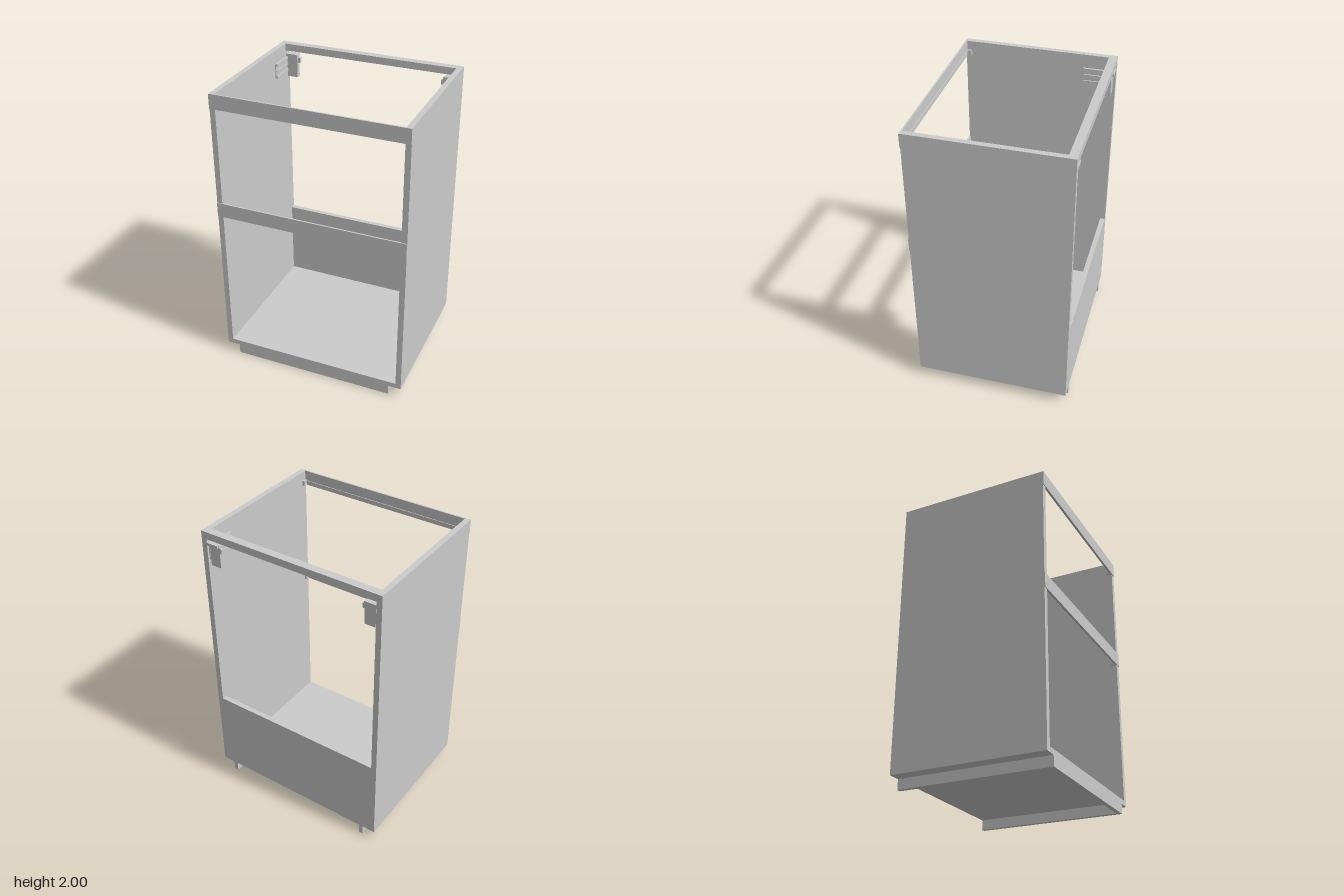
import * as THREE from 'three';

const material = new THREE.MeshStandardMaterial({ color: 0xcccccc });

// Box given by its minimum and maximum on each axis
function box(parent, name, [x0, x1], [y0, y1], [z0, z1]) {
  const mesh = new THREE.Mesh(new THREE.BoxGeometry(x1 - x0, y1 - y0, z1 - z0), material);
  mesh.position.set((x0 + x1) / 2, (y0 + y1) / 2, (z0 + z1) / 2);
  mesh.name = name;
  parent.add(mesh);
  return mesh;
}

// The same box on both sides of x = 0
function pair(parent, name, [x0, x1], y, z) {
  box(parent, name + 'Left', [x0, x1], y, z);
  box(parent, name + 'Right', [-x1, -x0], y, z);
}

function group(parent, name) {
  const g = new THREE.Group();
  g.name = name;
  parent.add(g);
  return g;
}

export function createModel() {
  const model = new THREE.Group();
  model.name = 'cabinet';
  const W = 0.66, IN = 0.622, BACK = -0.53, FRONT = 0.525;

  // Carcass boards
  const carcass = group(model, 'carcass');
  pair(carcass, 'sidePanel', [IN, W], [0.07, 2], [BACK, FRONT]);
  box(carcass, 'bottomPanel', [-IN, IN], [0.07, 0.105], [BACK, FRONT]);
  box(carcass, 'backPanel', [-IN, IN], [0.07, 0.66], [BACK, -0.495]);
  box(carcass, 'backTopRail', [-IN, IN], [1.95, 2], [BACK, -0.475]);

  // Plinth: front board and two runners open to the back
  const plinth = group(model, 'plinth');
  box(plinth, 'plinthFront', [-0.57, 0.57], [0, 0.07], [0.495, FRONT]);
  pair(plinth, 'plinthRunner', [0.54, 0.57], [0, 0.07], [BACK, 0.495]);

  // Thin front rails with a stiffening lip and end tabs
  for (const [name, y] of [['topFrontRail', 1.9], ['middleFrontRail', 1.13]]) {
    const rail = group(model, name);
    box(rail, 'railFace', [-W, W], [y, y + 0.1], [0.522, 0.53]);
    box(rail, 'railWeb', [-IN, IN], [y, y + 0.1], [0.519, 0.523]);
    box(rail, 'railLip', [-IN, IN], [y, y + 0.03], [0.514, 0.52]);
    pair(rail, 'railTab', [0.607, IN], [y, y + 0.035], [0.485, 0.52]);
  }

  // Wall hangers in the upper back corners
  const hangers = group(model, 'wallHangers');
  pair(hangers, 'hangerBlock', [0.535, 0.612], [1.76, 1.92], [-0.515, -0.48]);
  pair(hangers, 'hangerHook', [0.52, 0.535], [1.865, 1.9], [-0.515, -0.495]);
  pair(hangers, 'hangerCap', [0.54, IN], [1.905, 1.925], [-0.53, -0.48]);
  pair(hangers, 'hangerPlate', [0.616, IN], [1.8, 1.905], [-0.515, -0.305]);
  for (const y of [1.8, 1.845, 1.89])
    pair(hangers, 'hangerRib', [0.607, IN], [y, y + 0.015], [-0.515, -0.31]);

  return model;
}
